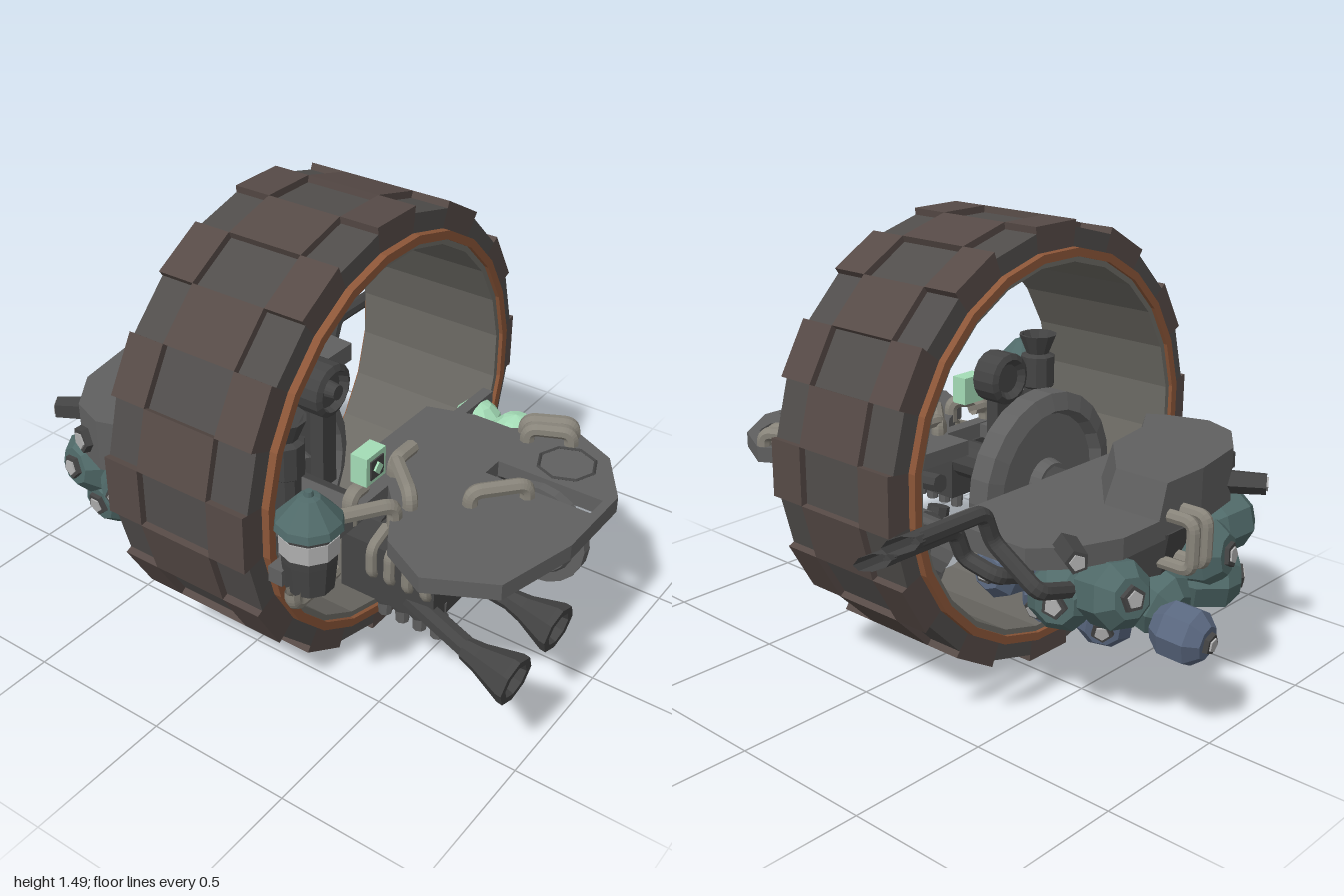
import * as THREE from 'three';
import { mergeGeometries } from 'three/addons/utils/BufferGeometryUtils.js';

const mat = (color) => new THREE.MeshStandardMaterial({ color, flatShading: true, side: THREE.DoubleSide });
const M = {
  brown: mat(0x564a46), grey: mat(0x504d4b), lining: mat(0x6c6a64), copper: mat(0x8c5638), plate: mat(0x606060),
  dark: mat(0x444444), teal: mat(0x506a69), blue: mat(0x5a6880), pipe: mat(0x88847a), mint: mat(0xa4dcb6), pale: mat(0xb0b0b0),
};
const V = (a) => new THREE.Vector3(...a);
const UP = new THREE.Vector3(0, 1, 0);

export function createModel() {
  const root = new THREE.Group();
  const add = (name, geo, m) => {
    const mesh = new THREE.Mesh(geo, m);
    mesh.name = name;
    root.add(mesh);
    return mesh;
  };
  const box = (name, c, s, m) => add(name, new THREE.BoxGeometry(...s).translate(...c), m);

  // Lathe of [radius, height] points, standing at point a and aimed along dir
  const turned = (name, a, dir, profile, m, n = 10) => {
    const mesh = add(name, new THREE.LatheGeometry(profile.map((p) => new THREE.Vector2(...p)), n), m);
    mesh.position.set(...a);
    mesh.quaternion.setFromUnitVectors(UP, V(dir).normalize());
    return mesh;
  };
  // Closed cylinder or cone between two points
  const rod = (name, a, b, r0, r1, m, n = 10) => {
    const d = V(b).sub(V(a)), L = d.length();
    return turned(name, a, d.toArray(), [[0, 0], [r0, 0], [r1, L], [0, L]], m, n);
  };
  // Pipe with rounded elbows along a list of points
  const pipe = (name, pts, r, m, bend = 0.035) => {
    const p = pts.map(V), path = new THREE.CurvePath();
    let last = p[0];
    for (let i = 1; i < p.length - 1; i++) {
      const a = p[i].clone().add(p[i - 1].clone().sub(p[i]).setLength(bend));
      const b = p[i].clone().add(p[i + 1].clone().sub(p[i]).setLength(bend));
      path.add(new THREE.LineCurve3(last, a));
      path.add(new THREE.QuadraticBezierCurve3(a, p[i], b));
      last = b;
    }
    path.add(new THREE.LineCurve3(last, p[p.length - 1]));
    return add(name, new THREE.TubeGeometry(path, 10 * p.length, r, 8), m);
  };
  // Flat slab from [x, z] outline
  const slab = (pts, y0, y1, holes = []) => {
    const path = (q) => q.map(([x, z]) => new THREE.Vector2(x, -z));
    const s = new THREE.Shape(path(pts));
    holes.forEach((h) => s.holes.push(new THREE.Path(path(h))));
    return new THREE.ExtrudeGeometry(s, { depth: y1 - y0, bevelEnabled: false }).rotateX(-Math.PI / 2).translate(0, y0, 0);
  };

  // Giant tyre: three rows of tread blocks, alternately raised and recessed
  const N = 24, CY = 0.745, CZ = 0.125, half = Math.PI / N;
  const onAxle = (g, x0) => g.rotateY(Math.PI / 2).translate(x0, CY, CZ);
  const treads = { brown: [], grey: [] };
  [[-0.25, -0.12, 0], [-0.12, 0.145, 1], [0.145, 0.28, 0]].forEach(([x0, x1, odd]) => {
    for (let i = 0; i < N; i++) {
      const high = (i + odd) % 2 === 0, t = i * 2 * half;
      const ro = (high ? 0.745 : 0.722) / Math.cos(half), ri = 0.645;
      const s = new THREE.Shape([[ri, -half], [ro, -half], [ro, half], [ri, half]].map(
        ([r, a]) => new THREE.Vector2(r * Math.cos(t + a), r * Math.sin(t + a))));
      treads[high ? 'brown' : 'grey'].push(
        onAxle(new THREE.ExtrudeGeometry(s, { depth: x1 - x0, bevelEnabled: false }), x0));
    }
  });
  add('raisedTreads', mergeGeometries(treads.brown), M.brown);
  add('recessedTreads', mergeGeometries(treads.grey), M.grey);
  const ring = (name, ro, ri, x0, x1, m) => {
    const circle = (r) => Array.from({ length: N }, (_, i) => new THREE.Vector2(r, 0).rotateAround(new THREE.Vector2(), (2 * i + 1) * half));
    const s = new THREE.Shape(circle(ro));
    s.holes.push(new THREE.Path(circle(ri)));
    add(name, onAxle(new THREE.ExtrudeGeometry(s, { depth: x1 - x0, bevelEnabled: false }), x0), m);
  };
  ring('wheelLining', 0.65, 0.618, -0.262, 0.292, M.lining);
  [[-0.276, -0.245], [0.275, 0.306]].forEach(([a, b]) => ring('copperRim', 0.665, 0.637, a, b, M.copper));

  // Left deck with slot, hatch and a narrow front arm
  add('leftDeck', slab([[0.2, -0.2], [0.36, -0.25], [0.5, -0.25], [0.69, -0.36], [0.85, -0.28], [0.97, -0.1], [0.97, 0.2],
    [0.9, 0.48], [0.69, 0.59], [0.52, 0.5], [0.42, 0.33], [0.3, 0.2], [0.2, 0.2]], 0.595, 0.65,
  [[[0.57, -0.055], [0.94, -0.055], [0.94, 0.025], [0.57, 0.025]]]), M.plate);
  box('frontArm', [0.335, 0.622, 0.5], [0.05, 0.054, 0.6], M.plate);
  box('rearArm', [0.31, 0.622, -0.3], [0.04, 0.054, 0.24], M.plate);
  const hatch = add('hatch', new THREE.TorusGeometry(0.095, 0.006, 4, 8).rotateX(Math.PI / 2), M.dark);
  hatch.position.set(0.755, 0.651, -0.17);

  // Ringed disc standing in the deck slot
  turned('slotDisc', [0.75, 0.475, -0.015], [0, 0, 1], [[0, -0.04], [0.04, -0.04], [0.05, -0.02], [0.09, -0.02], [0.1, -0.035], [0.13, -0.035],
    [0.14, -0.018], [0.175, -0.018], [0.175, 0.018], [0.14, 0.018], [0.13, 0.035], [0.1, 0.035], [0.09, 0.02], [0.05, 0.02], [0.04, 0.04], [0, 0.04]], M.plate, 20);
  rod('discAxle', [0.75, 0.475, -0.1], [0.75, 0.475, 0.3], 0.025, 0.025, M.dark, 8);

  // Handles made of bent pipe on the deck
  [[0.55, -0.26, 0.69, -0.33], [0.58, -0.22, 0.71, -0.28], [0.62, 0.2, 0.74, 0.06],
    [0.33, 0.18, 0.48, 0.32], [0.35, 0.57, 0.47, 0.39]].forEach(([x0, z0, x1, z1]) =>
    pipe('deckHandle', [[x0, 0.62, z0], [x0, 0.695, z0], [x1, 0.695, z1], [x1, 0.62, z1]], 0.025, M.pipe));

  // Right canopy: low rear deck and a raised front hump with sloped edge
  add('canopyDeck', slab([[-0.26, -0.4], [-0.42, -0.41], [-0.6, -0.41], [-0.7, -0.3], [-0.76, -0.15], [-0.76, 0.25], [-0.72, 0.48],
    [-0.62, 0.62], [-0.5, 0.665], [-0.36, 0.62], [-0.26, 0.5]], 0.585, 0.655), M.plate);
  const step = [[-0.27, 0.53], [-0.35, 0.4], [-0.38, 0.2], [-0.54, 0.01], [-0.76, 0.01]];
  const hump = slab([...step, [-0.76, 0.25], [-0.72, 0.48], [-0.62, 0.62], [-0.5, 0.665], [-0.36, 0.62]], 0.6, 0.77);
  const hp = hump.attributes.position;
  for (let i = 0; i < hp.count; i++) {
    const k = step.findIndex(([x, z]) => Math.abs(hp.getX(i) - x) + Math.abs(hp.getZ(i) - z) < 1e-4);
    if (k >= 0 && hp.getY(i) > 0.7) hp.setXYZ(i, hp.getX(i) - (k < 4 ? 0.025 : 0), 0.77, hp.getZ(i) + 0.05);
  }
  hump.computeVertexNormals();
  add('canopyHump', hump, M.plate);

  // Barrels clustered under the canopy, each with a dark plug and pale pentagon
  const plug = (a, dir, len, r) => {
    const e = V(a).addScaledVector(V(dir).normalize(), len), f = e.clone().addScaledVector(V(dir).normalize(), 0.006);
    rod('barrelPlug', a, e.toArray(), r, r * 0.9, M.dark, 5);
    rod('plugCap', e.toArray(), f.toArray(), r * 0.6, r * 0.6, M.pale, 5);
  };
  const barrel = (a, dir, r, m) => {
    turned('barrel', a, dir, [[0, -r], [r * 0.6, -r], [r, -r * 0.5], [r, r * 0.45], [r * 0.6, r * 0.9], [0, r * 0.9]], m, 8);
    plug(V(a).addScaledVector(V(dir).normalize(), r * 0.8).toArray(), dir, 0.025, r * 0.42);
  };
  [[-0.66, 0.49, 0.52, -0.2, 0.1, 1], [-0.45, 0.49, 0.56, 0.1, 0.1, 1], [-0.75, 0.38, 0.32, -0.7, 0, 0.7], [-0.61, 0.36, 0.48, -0.1, -0.1, 1],
    [-0.75, 0.48, 0.27, -1, 0.1, 0.2], [-0.74, 0.48, -0.17, -1, 0.2, -0.3], [-0.7, 0.36, 0.1, -1, -0.3, 0],
    [-0.58, 0.44, -0.2, -0.4, 0, -1]].forEach(([x, y, z, ...d]) => barrel([x, y, z], d, 0.11, M.teal));
  [[-0.9, 0.345, -0.02, -1, -0.1, 0.1], [-0.36, 0.41, 0.3, 0.5, -0.3, 1], [-0.68, 0.37, -0.12, -0.6, -0.2, -1],
    [-0.45, 0.36, -0.1, 0, -0.3, -1], [-0.38, 0.48, -0.25, 0, 0.1, -1]].forEach(([x, y, z, ...d]) => barrel([x, y, z], d, 0.092, M.blue));
  rod('barrelCore', [-0.52, 0.33, 0.15], [-0.52, 0.6, 0.15], 0.2, 0.26, M.dark, 10);

  // Short lamps around the canopy wall
  [[-0.66, 0.65, -0.3, -1, 0, -0.7], [-0.7, 0.65, 0.48, -1, 0, 0.6]].forEach(([x, y, z, ...d]) => plug([x, y, z], d, 0.13, 0.042));
  [[-0.58, 0.66, 0.63, -0.3, 0, 1], [-0.33, 0.69, 0.58, 0.3, 0, 1]].forEach(([x, y, z, ...d]) => plug([x, y, z], d, 0.03, 0.05));
  [0.08, 0.15].forEach((z) => pipe('sidePipe', [[-0.74, 0.66, z], [-0.85, 0.66, z], [-0.85, 0.5, z], [-0.7, 0.5, z]], 0.022, M.pipe));

  // Twin rear exhausts with slanted tips
  [[-0.51, 0.765, -0.66], [-0.395, 0.68, -0.5]].forEach(([x, y, x0]) => {
    pipe('exhaust', [[x0, 0.5, -0.28], [x0, 0.54, -0.42], [x, y - 0.1, -0.45], [x, y, -0.49], [x, y, -0.76]], 0.027, M.dark, 0.03);
    const tip = new THREE.CylinderGeometry(0.027, 0.027, 0.04, 8, 1, true).rotateX(-Math.PI / 2).translate(x, y, -0.77);
    const p = tip.attributes.position;
    for (let i = 0; i < p.count; i++) if (p.getZ(i) < -0.77) p.setZ(i, -0.82 - 1.8 * (p.getX(i) - x));
    add('exhaustTip', tip, M.dark);
  });

  // Standing flywheel inside the tyre, with hub, shaft and pulley
  turned('flywheel', [-0.1, 0.525, 0.32], [1, 0, 0], [[0, 0], [0.08, 0], [0.09, 0.04], [0.25, 0.04], [0.27, 0], [0.33, 0.02], [0.33, 0.1],
    [0.28, 0.12], [0.26, 0.08], [0.14, 0.08], [0.12, 0.15], [0, 0.15]], M.plate, 24);
  rod('axleShaft', [-0.4, 0.525, 0.32], [0.4, 0.525, 0.32], 0.07, 0.07, M.dark, 12);
  turned('pulley', [0.03, 0.9, 0.24], [1, 0, 0], [[0, 0.02], [0.05, 0.02], [0.07, 0], [0.09, 0.01], [0.09, 0.1], [0.07, 0.11], [0.06, 0.08],
    [0.03, 0.08], [0.025, 0.12], [0, 0.12]], M.dark, 16);
  box('pulleyBracket', [0.09, 0.72, 0.24], [0.05, 0.36, 0.07], M.dark);
  turned('funnel', [0.18, 0.58, 0.55], [0, 1, 0], [[0.05, 0], [0.05, 0.2], [0.063, 0.21], [0.063, 0.32], [0.042, 0.33], [0.07, 0.4], [0.06, 0.4], [0.03, 0.34]], M.dark, 10);
  box('funnelBase', [0.2, 0.62, 0.5], [0.24, 0.05, 0.24], M.plate);

  // Lamp jar on the front arm
  turned('jarBody', [0.4, 0.58, 0.72], [0, 1, 0], [[0, 0], [0.075, 0], [0.085, 0.1], [0.09, 0.22], [0, 0.22]], M.dark, 10);
  rod('jarBand', [0.4, 0.71, 0.72], [0.4, 0.77, 0.72], 0.092, 0.092, M.pale, 10);
  turned('jarRoof', [0.4, 0.79, 0.72], [0, 1, 0], [[0, 0], [0.105, 0], [0.1, 0.025], [0.035, 0.095], [0.015, 0.1], [0.012, 0.115], [0, 0.115]], M.teal, 10);
  pipe('jarPipe', [[0.4, 0.6, 0.8], [0.4, 0.55, 0.8], [0.4, 0.55, 0.6]], 0.025, M.pipe);

  // Square mint gauges with dark faces
  [[0.35, 0.78, 0.36], [0.79, 0.49, 0.1]].forEach(([x, y, z]) => {
    box('gauge', [x, y, z], [0.06, 0.1, 0.1], M.mint);
    box('gaugeFace', [x + 0.03, y, z], [0.01, 0.066, 0.066], M.dark);
    rod('gaugeDial', [x + 0.03, y, z], [x + 0.042, y, z], 0.022, 0.022, M.mint, 4);
  });
  [0.2, 0.44].forEach((z) => pipe('gaugePipe', [[0.34, 0.6, z], [0.34, 0.7, z], [0.34, 0.7, z > 0.3 ? 0.37 : 0.1]], 0.025, M.pipe));

  // Mint bulbs on tilted cylinders that run inward to ringed drums
  [0.32, 0.47].forEach((x, i) => {
    const at = (t) => [x - 0.2 * (1 - t), 0.31 + 0.22 * t, -0.01 - 0.29 * t];
    rod('cylinderBase', at(0), at(0.5), 0.1, 0.085, M.plate, 14);
    rod('cylinderNeck', at(0.5), at(0.95), 0.07, 0.095, M.dark, 12);
    [0.5, 0.62, 0.74].forEach((t) => rod('coolingFin', at(t), at(t + 0.05), 0.095, 0.095, M.plate, 12));
    add('mintBulb', new THREE.SphereGeometry(0.09, 10, 6).translate(x, 0.555, -0.34), M.mint);
    turned('ringedDrum', [0.18 + i * 0.12, 0.325, -0.17 + i * 0.13], [1, 0, 0], [[0, -0.1], [0.14 - i * 0.02, -0.1], [0.14 - i * 0.02, 0.02],
      [0.11, 0.04], [0.1, 0.025], [0.07, 0.025], [0.06, 0.05], [0, 0.05]], M.plate, 18);
  });

  // Engine block with horns, pistons and pipes
  box('engineBlock', [0.5, 0.48, 0.36], [0.34, 0.2, 0.22], M.dark);
  [[0.51, 0.98, 0.38], [0.24, 0.97, 0.22]].forEach(([z, x, z0]) => {
    rod('hornStem', [0.36, 0.44, z0], [0.83, 0.39, z], 0.035, 0.035, M.dark, 8);
    turned('hornBell', [0.81, 0.392, z], [1, -0.15, 0.05], [[0.036, 0], [0.045, 0.05], [0.08, x - 0.82], [0.08, x - 0.8], [0.055, x - 0.8], [0.03, 0.08], [0, 0.08]], M.dark, 8);
  });
  for (let i = 0; i < 4; i++) {
    const x = 0.45 + i * 0.065;
    rod('piston', [x, 0.28, 0.4], [x, 0.42, 0.4], 0.022, 0.028, M.plate, 8);
    rod('pistonCollar', [x, 0.33, 0.4], [x, 0.36, 0.4], 0.032, 0.032, M.dark, 8);
    pipe('enginePipe', [[x, 0.61, 0.4], [x, 0.58, 0.48], [x, 0.48, 0.48], [x, 0.46, 0.4]], 0.018, M.pipe, 0.025);
    pipe('sideEnginePipe', [[0.6, 0.58, 0.3 - i * 0.07], [0.69, 0.55, 0.3 - i * 0.07], [0.69, 0.46, 0.3 - i * 0.07], [0.5, 0.44, 0.3 - i * 0.07]], 0.018, M.pipe, 0.03);
  }
  box('hangingStrut', [0.38, 0.445, 0], [0.035, 0.33, 0.045], M.dark);
  rod('slantedFoot', [0.28, 0.4, 0.13], [0.28, 0.21, 0.08], 0.04, 0.045, M.dark, 8);

  return root;
}
